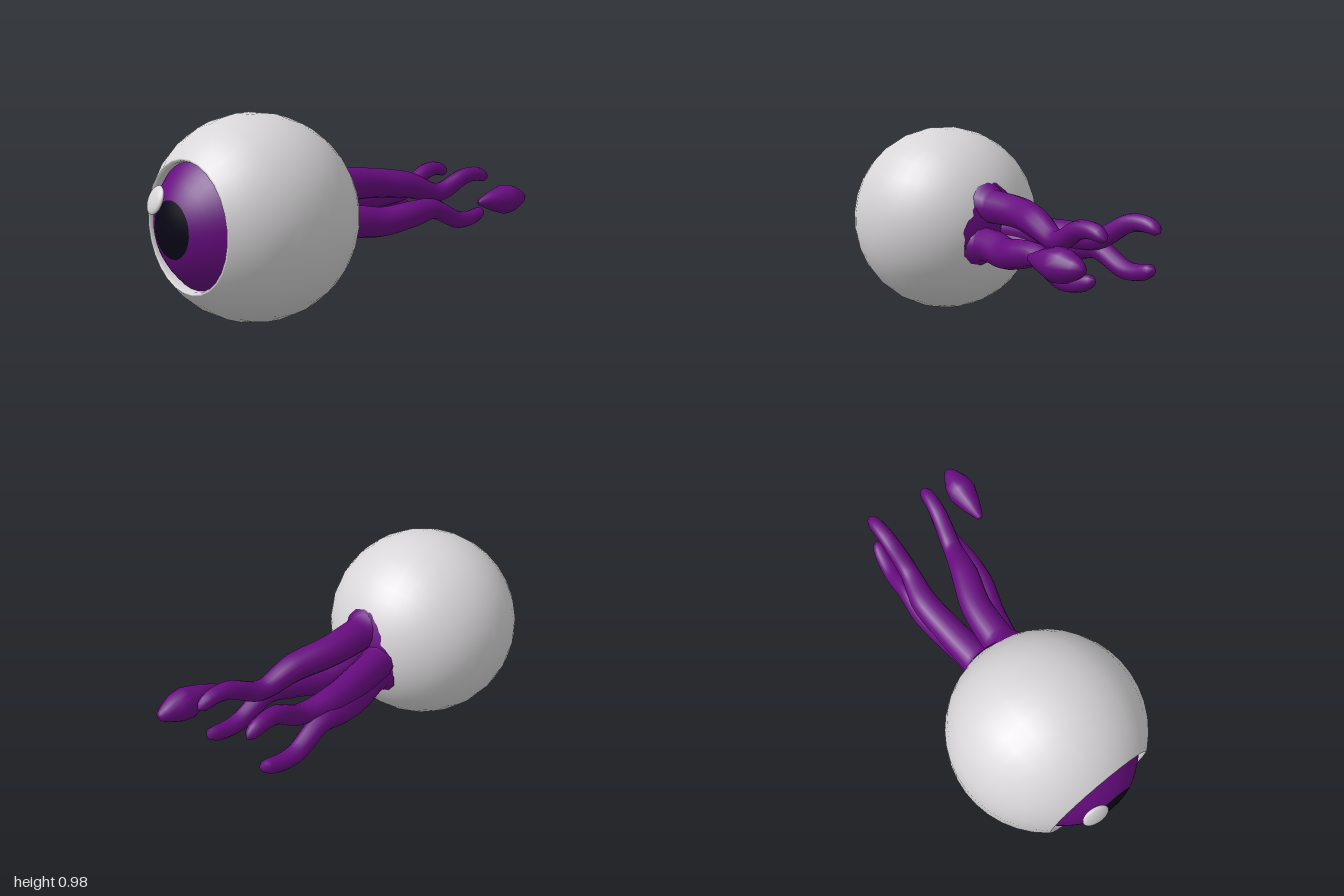
import * as THREE from 'three';
import { mergeVertices } from 'three/addons/utils/BufferGeometryUtils.js';

const CENTER = new THREE.Vector3(-0.49, 0.495, 0);
const R = 0.491;
const GAZE = new THREE.Vector3(-0.993, 0, 0.12).normalize();
const UP = new THREE.Vector3(0, 1, 0);

const V2 = (pts) => pts.map(([r, y]) => new THREE.Vector2(r, y));

// Rebuild smooth normals after moving vertices
function smooth(geometry) {
  geometry.deleteAttribute('uv');
  geometry.deleteAttribute('normal');
  const g = mergeVertices(geometry, 1e-5);
  g.computeVertexNormals();
  return g;
}

// Radius along a nerve, from flared root to rounded tip
const RADII = [[0, 0.115], [0.05, 0.086], [0.25, 0.077], [0.45, 0.069], [0.62, 0.05],
  [0.8, 0.044], [0.94, 0.036], [0.975, 0.026], [1, 0]];
function radiusAt(t) {
  const i = Math.max(1, RADII.findIndex(([k]) => k >= t));
  const [t0, r0] = RADII[i - 1], [t1, r1] = RADII[i];
  return r0 + (r1 - r0) * (t - t0) / (t1 - t0);
}

// Tapered tube along a smooth curve
function nerveGeometry(points) {
  const curve = new THREE.CatmullRomCurve3(points.map((p) => new THREE.Vector3(...p)));
  const rings = 40, sides = 12;
  const g = new THREE.TubeGeometry(curve, rings, 1, sides);
  const pos = g.attributes.position, v = new THREE.Vector3();
  for (let i = 0; i <= rings; i++) {
    const c = curve.getPointAt(i / rings), r = radiusAt(i / rings);
    for (let j = 0; j <= sides; j++) {
      const k = i * (sides + 1) + j;
      v.fromBufferAttribute(pos, k).sub(c).multiplyScalar(r).add(c);
      pos.setXYZ(k, v.x, v.y, v.z);
    }
  }
  return smooth(g);
}

// Lobed skin hugging the back of the eyeball
function patchGeometry() {
  const g = new THREE.CircleGeometry(1, 72);
  const rings = new THREE.RingGeometry(0, 1, 72, 6);
  g.dispose();
  const pos = rings.attributes.position;
  for (let i = 0; i < pos.count; i++) {
    const x = pos.getX(i), y = pos.getY(i);
    const a = Math.atan2(x, y);
    const edge = 0.172 + 0.026 * Math.cos(3 * a) + 0.005 * Math.sin(11 * a) + 0.004 * Math.sin(17 * a);
    const dy = y * edge + 0.025, dz = -x * edge + 0.01;
    const s = R + 0.004;
    pos.setXYZ(i, CENTER.x + Math.sqrt(s * s - dy * dy - dz * dz), CENTER.y + dy, dz);
  }
  return smooth(rings);
}

export function createModel() {
  const model = new THREE.Group();
  model.name = 'eyeball';
  const material = (name, color, side = THREE.FrontSide) => {
    const m = new THREE.MeshStandardMaterial({ color, side });
    m.name = name;
    return m;
  };
  const white = material('eye white', 0xd8d6d8, THREE.DoubleSide);
  const purple = material('purple', 0x680c80, THREE.DoubleSide);
  const black = material('pupil black', 0x070614);
  const add = (parent, name, geometry, mat) => {
    const mesh = new THREE.Mesh(geometry, mat);
    mesh.name = name;
    parent.add(mesh);
    return mesh;
  };

  // Eye, turned about its gaze axis
  const eye = new THREE.Group();
  eye.name = 'eye';
  eye.position.copy(CENTER);
  eye.quaternion.setFromUnitVectors(UP, GAZE);
  model.add(eye);

  // White shell with an open, rolled lip around the iris
  const shell = [];
  const lipAngle = Math.PI - Math.asin(0.305 / R);
  for (let i = 0; i <= 16; i++) {
    const a = lipAngle * i / 16;
    shell.push([R * Math.sin(a), -R * Math.cos(a)]);
  }
  shell.push([0.296, 0.388], [0.289, 0.375], [0.288, 0.34]);
  add(eye, 'eyeWhite', new THREE.LatheGeometry(V2(shell), 28), white);

  // Domed iris and pupil
  add(eye, 'iris', new THREE.LatheGeometry(
    V2([[0.292, 0.342], [0.25, 0.385], [0.2, 0.424], [0.16, 0.449], [0.13, 0.463]]), 32), purple);
  add(eye, 'pupil', new THREE.LatheGeometry(
    V2([[0.13, 0.463], [0.09, 0.475], [0.045, 0.483], [0, 0.486]]), 32), black);

  // Flattened glint on the iris
  const glint = add(model, 'glint', new THREE.SphereGeometry(1, 20, 12), white);
  glint.scale.set(0.068, 0.02, 0.068);
  glint.position.set(-0.968, 0.615, -0.05);
  glint.quaternion.setFromUnitVectors(UP, new THREE.Vector3(-0.93, 0.36, -0.05).normalize());

  // Nerves trailing behind the eye
  add(model, 'nerveRoot', patchGeometry(), purple);
  const nerves = {
    upperLeftNerve: [[-0.06, 0.61, 0.03], [0.2, 0.602, 0.03], [0.4, 0.58, 0.08],
      [0.58, 0.53, 0.112], [0.75, 0.605, 0.135], [0.85, 0.61, 0.14], [0.925, 0.58, 0.14]],
    upperRightNerve: [[-0.06, 0.49, -0.08], [0.2, 0.49, -0.13], [0.4, 0.5, -0.16],
      [0.58, 0.515, -0.145], [0.75, 0.605, -0.16], [0.85, 0.61, -0.17], [0.925, 0.58, -0.175]],
    lowerLeftNerve: [[-0.06, 0.42, 0.08], [0.05, 0.425, 0.085], [0.2, 0.413, 0.11], [0.36, 0.44, 0.148],
      [0.5, 0.455, 0.16], [0.68, 0.38, 0.168], [0.78, 0.382, 0.166], [0.88, 0.415, 0.16]],
    lowerRightNerve: [[-0.06, 0.42, -0.08], [0.05, 0.425, -0.095], [0.2, 0.413, -0.135], [0.36, 0.44, -0.18],
      [0.5, 0.455, -0.195], [0.68, 0.38, -0.203], [0.78, 0.382, -0.2], [0.88, 0.415, -0.19]],
  };
  for (const [name, points] of Object.entries(nerves)) add(model, name, nerveGeometry(points), purple);

  // Loose spindle-shaped drop beside the nerves
  const drop = add(model, 'drop', new THREE.LatheGeometry(
    V2([[0, 0], [0.018, 0.008], [0.05, 0.09], [0.077, 0.185], [0.07, 0.24], [0.042, 0.305], [0.022, 0.335], [0, 0.34]]), 16), purple);
  drop.position.set(0.66, 0.495, 0.335);
  drop.rotation.z = -Math.PI / 2;

  return model;
}
